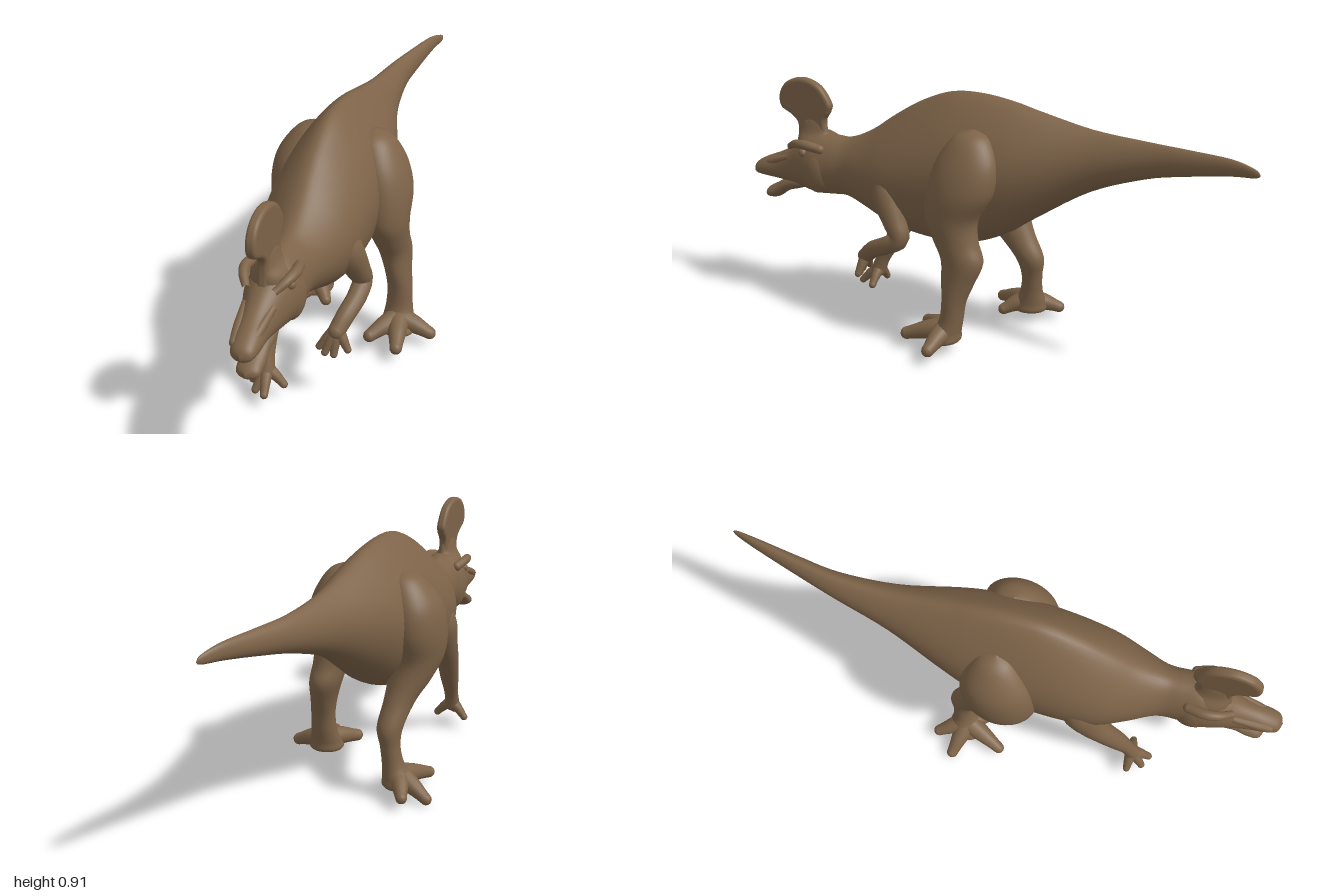
import * as THREE from 'three';
import { mergeGeometries, mergeVertices } from 'three/addons/utils/BufferGeometryUtils.js';

const hide = new THREE.MeshStandardMaterial({ color: 0x7d6348 });
hide.name = 'brown hide';

// Catmull-Rom blend through rows of numbers, t from 0 to 1
function blend(keys, t) {
  const f = t * (keys.length - 1);
  const i = Math.min(Math.floor(f), keys.length - 2), u = f - i;
  const at = (k) => keys[Math.max(0, Math.min(keys.length - 1, k))];
  const [a, b, c, d] = [at(i - 1), at(i), at(i + 1), at(i + 2)];
  return b.map((_, k) => b[k] + 0.5 * u * (c[k] - a[k]
    + u * (2 * a[k] - 5 * b[k] + 4 * c[k] - d[k] + u * (3 * (b[k] - c[k]) + d[k] - a[k]))));
}

// Weld a geometry so that its shading is smooth all round
function smooth(geometry) {
  geometry.deleteAttribute('normal');
  geometry.deleteAttribute('uv');
  const welded = mergeVertices(geometry, 1e-5);
  welded.computeVertexNormals();
  return welded;
}

// Skin closed rings; ring(key, angle) gives a point
function loft(keys, ring, cols = 40, steps = 5) {
  const rows = (keys.length - 1) * steps, pos = [], index = [];
  for (let r = 0; r <= rows; r++) {
    const key = blend(keys, r / rows);
    for (let c = 0; c < cols; c++) pos.push(...ring(key, (c / cols) * Math.PI * 2));
  }
  for (let r = 0; r < rows; r++) for (let c = 0; c < cols; c++) {
    const a = r * cols + c, b = r * cols + (c + 1) % cols;
    index.push(a, b, a + cols, b, b + cols, a + cols);
  }
  const g = new THREE.BufferGeometry();
  g.setAttribute('position', new THREE.Float32BufferAttribute(pos, 3));
  g.setIndex(index);
  g.computeVertexNormals();
  return g;
}

// Rings along z: [z, centre x, top, bottom, half width, ridge]
function trunkRing([z, x, top, bottom, w, ridge], a) {
  const s = Math.sin(a), mid = bottom + 0.46 * (top - bottom);
  const y = mid + s * (s > 0 ? top - mid : mid - bottom);
  return [x + w * Math.cos(a) * (s > 0 ? 1 - ridge * s * s : 1), y, z];
}

// Rings stacked downwards: [y, centre x, centre z, radius x, radius z]
const legRing = ([y, x, z, rx, rz], a) => [x + rx * Math.cos(a), y, z + rz * Math.sin(a)];

// Tapering round limb through [x, y, z, radius] points, with a rounded tip
function limb(points, segments = 28, sides = 16) {
  const curve = new THREE.CatmullRomCurve3(points.map((p) => new THREE.Vector3(...p)));
  const tube = new THREE.TubeGeometry(curve, segments, 1, sides);
  const pos = tube.attributes.position, v = new THREE.Vector3();
  for (let i = 0; i < pos.count; i++) {
    const t = Math.floor(i / (sides + 1)) / segments;
    const centre = curve.getPointAt(t);
    const radius = blend(points, curve.getUtoTmapping(t))[3];
    v.fromBufferAttribute(pos, i).sub(centre).multiplyScalar(radius).add(centre);
    pos.setXYZ(i, v.x, v.y, v.z);
  }
  const end = points[points.length - 1];
  const tip = new THREE.SphereGeometry(end[3], sides, 10).translate(end[0], end[1], end[2]);
  return mergeGeometries([smooth(tube), smooth(tip)]);
}

// Digits spreading from one root to each tip
function digits(root, tips, r0, r1, arch) {
  return mergeGeometries(tips.map((t) => limb([
    [...root, r0],
    [0, 1, 2].map((k) => root[k] * 0.5 + t[k] * 0.5 + (k === 1 ? arch : 0)).concat((r0 + r1) / 2),
    [...t, r1],
  ], 14, 14)));
}

export function createModel() {
  const model = new THREE.Group();
  model.name = 'crestedDinosaur';
  const add = (name, geometry) => {
    const mesh = new THREE.Mesh(geometry, hide);
    mesh.name = name;
    model.add(mesh);
    return mesh;
  };

  // Tail, body, neck and upper head in one skin
  add('tailBodyAndHead', loft([
    [-1, 0.045, 0.79, 0.785, 0, 0], [-0.98, 0.04, 0.805, 0.775, 0.008, 0],
    [-0.9, 0.02, 0.82, 0.763, 0.017, 0], [-0.75, -0.01, 0.82, 0.73, 0.03, 0.1],
    [-0.6, -0.035, 0.82, 0.69, 0.044, 0.2], [-0.4, -0.045, 0.832, 0.61, 0.078, 0.3],
    [-0.2, -0.045, 0.872, 0.48, 0.14, 0.4], [-0.1, -0.045, 0.895, 0.41, 0.165, 0.45],
    [0.02, -0.045, 0.91, 0.355, 0.18, 0.48], [0.14, -0.045, 0.903, 0.337, 0.18, 0.48],
    [0.26, -0.045, 0.856, 0.345, 0.178, 0.45], [0.37, -0.042, 0.79, 0.37, 0.165, 0.4],
    [0.47, -0.035, 0.72, 0.415, 0.13, 0.3], [0.56, -0.028, 0.68, 0.447, 0.092, 0.15],
    [0.63, -0.025, 0.678, 0.445, 0.086, 0], [0.7, -0.025, 0.68, 0.44, 0.092, 0],
    [0.76, -0.025, 0.655, 0.45, 0.08, 0], [0.82, -0.024, 0.612, 0.46, 0.062, 0],
    [0.88, -0.022, 0.58, 0.468, 0.05, 0], [0.94, -0.018, 0.555, 0.474, 0.046, 0],
    [0.985, -0.016, 0.53, 0.48, 0.034, 0], [1, -0.015, 0.505, 0.495, 0, 0],
  ], trunkRing, 48));

  // Dropped lower jaw
  add('lowerJaw', loft([
    [0.73, -0.025, 0.5, 0.48, 0, 0], [0.78, -0.025, 0.505, 0.448, 0.045, 0],
    [0.85, -0.023, 0.482, 0.425, 0.043, 0], [0.9, -0.022, 0.452, 0.392, 0.042, 0],
    [0.94, -0.021, 0.43, 0.388, 0.036, 0], [0.957, -0.021, 0.412, 0.4, 0, 0],
  ], trunkRing, 28));

  // Hatchet-shaped crest, outlined in z and y
  const outline = new THREE.Shape();
  outline.moveTo(0.8, 0.62);
  outline.splineThru([
    [0.79, 0.7], [0.815, 0.735], [0.865, 0.765], [0.868, 0.82], [0.83, 0.868], [0.76, 0.886],
    [0.69, 0.862], [0.645, 0.8], [0.65, 0.765], [0.67, 0.73], [0.665, 0.68], [0.63, 0.62],
  ].map((p) => new THREE.Vector2(...p)));
  const crest = new THREE.ExtrudeGeometry(outline, {
    depth: 0.012, bevelThickness: 0.012, bevelSize: 0.014, bevelOffset: -0.014, bevelSegments: 5, curveSegments: 60,
  }).rotateY(-Math.PI / 2).translate(-0.019, 0, 0);
  add('crest', smooth(crest));
  add('crestBase', loft([
    [0.76, -0.025, 0.735, 0, 0.03], [0.73, -0.025, 0.73, 0.018, 0.055],
    [0.68, -0.025, 0.725, 0.032, 0.065], [0.64, -0.025, 0.715, 0.06, 0.08], [0.58, -0.025, 0.71, 0.07, 0.08],
  ], legRing, 28));

  // Brows, eyes, cheeks and nostril ridges on both sides of the head
  for (const s of [1, -1]) {
    const side = s > 0 ? 'left' : 'right', X = (d) => -0.025 + s * d;
    add(side + 'Brow', limb([[X(0.045), 0.622, 0.81, 0.012], [X(0.072), 0.644, 0.765, 0.016],
      [X(0.08), 0.648, 0.72, 0.018], [X(0.068), 0.635, 0.66, 0.018]], 20, 14));
    add(side + 'Eye', new THREE.SphereGeometry(0.017, 16, 12)).position.set(X(0.069), 0.612, 0.735);
    const cheek = add(side + 'Cheek', new THREE.SphereGeometry(1, 28, 20));
    cheek.scale.set(0.045, 0.09, 0.068);
    cheek.position.set(X(0.05), 0.545, 0.685);
    add(side + 'SnoutRidge', limb([[X(0.045), 0.575, 0.82, 0.012], [X(0.034), 0.545, 0.9, 0.016],
      [X(0.026), 0.522, 0.955, 0.015]], 16, 12));
  }

  // Hind legs in mid stride, left one forward
  add('leftHindLeg', loft([
    [0.81, 0.065, 0, 0, 0], [0.785, 0.075, 0, 0.055, 0.065], [0.7, 0.105, 0.005, 0.08, 0.115],
    [0.6, 0.125, 0.02, 0.09, 0.125], [0.5, 0.135, 0.05, 0.08, 0.1], [0.42, 0.145, 0.03, 0.066, 0.085],
    [0.35, 0.155, 0, 0.058, 0.08], [0.27, 0.17, 0.01, 0.048, 0.062], [0.2, 0.18, 0.02, 0.046, 0.045],
    [0.13, 0.182, 0.03, 0.05, 0.043], [0.08, 0.185, 0.05, 0.06, 0.055], [0.045, 0.187, 0.06, 0.062, 0.06],
    [0.035, 0.187, 0.06, 0, 0],
  ], legRing));
  add('leftFoot', digits([0.185, 0.085, 0.05],
    [[0.308, 0.05, 0.06], [0.22, 0.052, 0.195], [0.11, 0.062, 0.165]], 0.045, 0.023, 0.005));
  add('rightHindLeg', loft([
    [0.81, -0.15, 0, 0, 0], [0.785, -0.16, 0, 0.055, 0.06], [0.7, -0.195, 0.01, 0.085, 0.115],
    [0.6, -0.205, 0.02, 0.094, 0.135], [0.5, -0.2, 0.03, 0.09, 0.12], [0.42, -0.185, -0.005, 0.075, 0.1],
    [0.35, -0.17, -0.06, 0.055, 0.075], [0.27, -0.16, -0.12, 0.046, 0.056], [0.2, -0.165, -0.13, 0.036, 0.04],
    [0.13, -0.175, -0.125, 0.04, 0.042], [0.08, -0.19, -0.115, 0.056, 0.06], [0.045, -0.195, -0.11, 0.06, 0.065],
    [0.032, -0.195, -0.11, 0, 0],
  ], legRing));
  add('rightFoot', digits([-0.19, 0.08, -0.11],
    [[-0.31, 0.022, -0.14], [-0.245, 0.045, -0.21], [-0.25, 0.042, 0.03], [-0.13, 0.047, -0.03]], 0.043, 0.021, 0.005));

  // Right arm reaching to the ground, left arm bent and lifted
  add('rightArm', limb([[-0.13, 0.62, 0.27, 0.05], [-0.165, 0.53, 0.3, 0.066], [-0.17, 0.43, 0.345, 0.054],
    [-0.168, 0.35, 0.395, 0.043], [-0.155, 0.25, 0.455, 0.036], [-0.145, 0.16, 0.505, 0.027],
    [-0.14, 0.1, 0.53, 0.03]]));
  add('rightHand', digits([-0.14, 0.11, 0.525],
    [[-0.195, 0.052, 0.525], [-0.165, 0.048, 0.575], [-0.125, 0.048, 0.595], [-0.08, 0.055, 0.525]], 0.024, 0.014, 0.004));
  add('leftArm', limb([[0.06, 0.6, 0.35, 0.045], [0.085, 0.52, 0.34, 0.058], [0.11, 0.43, 0.3, 0.044],
    [0.12, 0.37, 0.275, 0.036], [0.118, 0.335, 0.33, 0.034], [0.102, 0.3, 0.4, 0.032], [0.085, 0.26, 0.445, 0.03]]));
  add('leftHand', digits([0.085, 0.265, 0.44],
    [[0.03, 0.2, 0.465], [0.055, 0.19, 0.48], [0.085, 0.185, 0.475], [0.128, 0.2, 0.455]], 0.024, 0.013, 0.004));

  return model;
}
